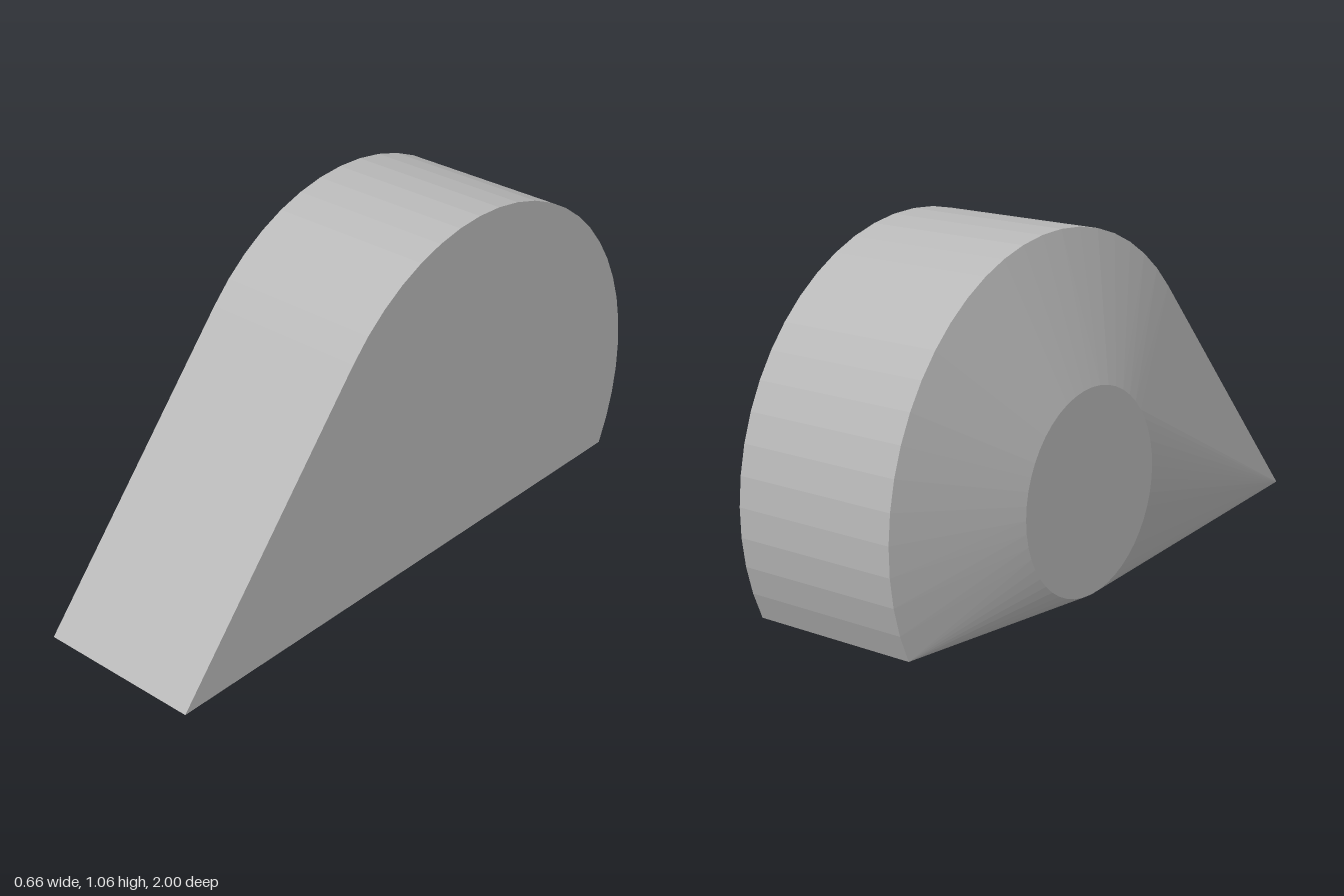
import * as THREE from 'three';
import { ConvexGeometry } from 'three/addons/geometries/ConvexGeometry.js';

const CENTER_Y = 0.32, CENTER_Z = -0.255;

// Points of an arc around the hub axis, in the plane at the given x
function arc(x, radius, fromDeg, toDeg, segments) {
  const points = [];
  for (let i = 0; i <= segments; i++) {
    const a = THREE.MathUtils.degToRad(fromDeg + (toDeg - fromDeg) * i / segments);
    points.push(new THREE.Vector3(x, CENTER_Y + radius * Math.sin(a), CENTER_Z + radius * Math.cos(a)));
  }
  return points;
}

// Teardrop side outline: front toe, tangent slope, rounded back, flat base
function outline(x) {
  return [new THREE.Vector3(x, 0, 1), ...arc(x, 0.745, 40.5, 205.44, 24)];
}

export function createModel() {
  const grey = new THREE.MeshStandardMaterial({ color: 0xb8b8b8 });
  grey.name = 'plain grey';
  grey.flatShading = true;

  // Constant-width body whose right side tapers to a round flat hub
  const shell = new THREE.Mesh(new ConvexGeometry([
    ...outline(0.328),
    ...outline(-0.208),
    ...arc(-0.328, 0.31, 0, 352.5, 47),
  ]), grey);
  shell.name = 'teardropHousing';

  const model = new THREE.Group();
  model.name = 'housing';
  model.add(shell);
  return model;
}
